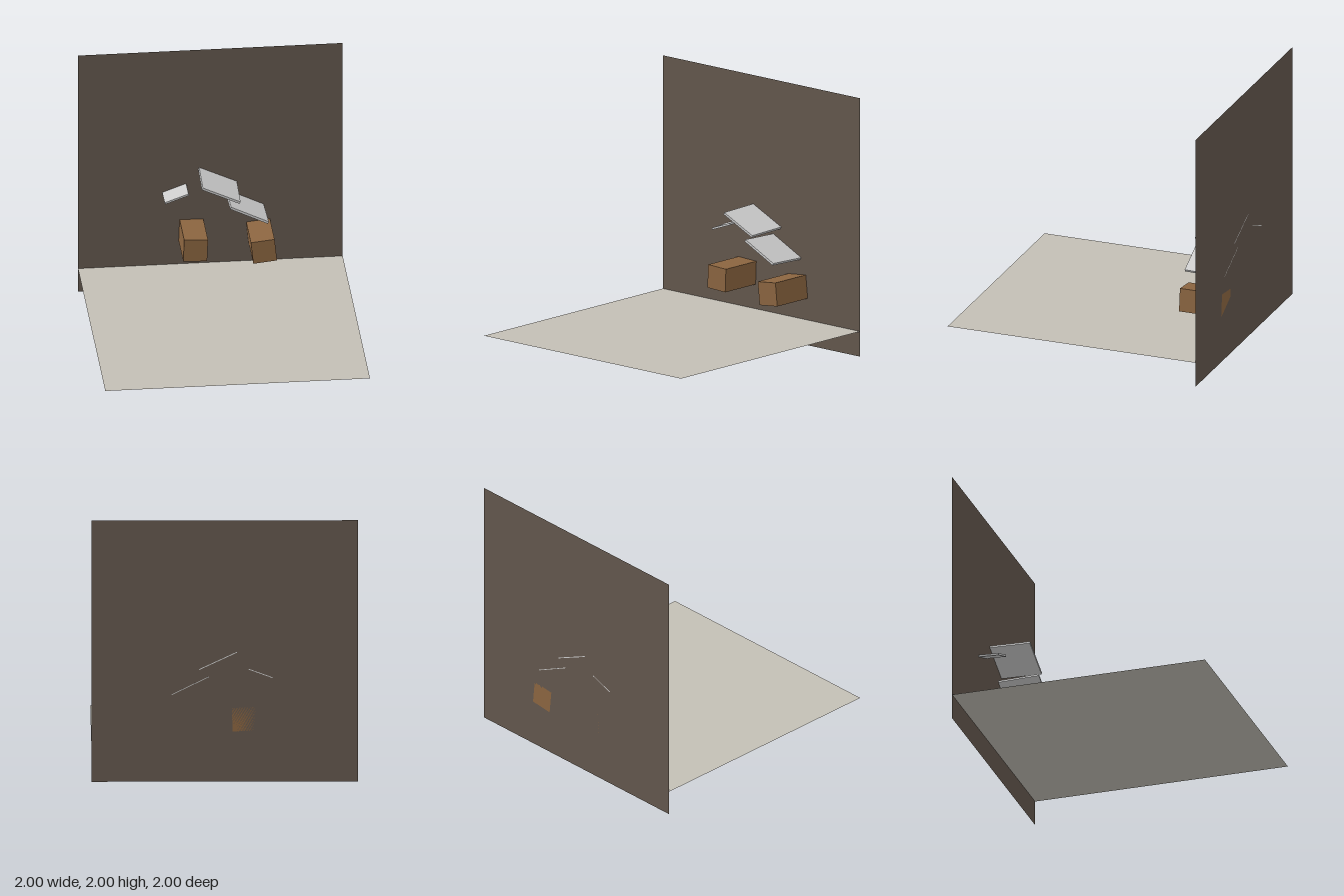
import * as THREE from 'three';

const paint = (color) => new THREE.MeshStandardMaterial({ color, side: THREE.DoubleSide, flatShading: true });

export function createModel() {
  const model = new THREE.Group();
  const wood = paint(0x8b6540);
  const slate = paint(0xcccccc);

  const add = (name, geometry, material, x, y, z) => {
    const mesh = new THREE.Mesh(geometry, material);
    mesh.name = name;
    mesh.position.set(x, y, z);
    model.add(mesh);
    return mesh;
  };

  // Block standing out from the wall, rolled about z and pitched about its own x (degrees)
  const block = (name, material, [w, h, d], x, y, roll, pitch = 0) => {
    const mesh = add(name, new THREE.BoxGeometry(w, h, d), material, x, y, -1 + d / 2);
    mesh.rotation.set(THREE.MathUtils.degToRad(pitch), 0, THREE.MathUtils.degToRad(roll), 'ZXY');
  };

  // Thin backdrop and floor; the floor sits a little above the wall's lower edge
  add('wall', new THREE.PlaneGeometry(2, 2), paint(0x63574d), 0, 1, -1);
  add('floor', new THREE.PlaneGeometry(2, 2).rotateX(-Math.PI / 2), paint(0xc3bfb5), 0, 0.195, 0);

  // Sloping plates
  block('upperPlate', slate, [0.314, 0.018, 0.318], 0.052, 0.924, -25, 2);
  block('lowerPlate', slate, [0.316, 0.018, 0.318], 0.26, 0.735, -26, -2.7);
  block('smallPlate', slate, [0.192, 0.015, 0.158], -0.27, 0.829, 20, 2.5);

  // Wooden blocks
  block('rightBlock', wood, [0.18, 0.18, 0.34], -0.146, 0.477, -2.2);
  block('leftBlock', wood, [0.18, 0.18, 0.34], 0.37, 0.442, 6);

  return model;
}
